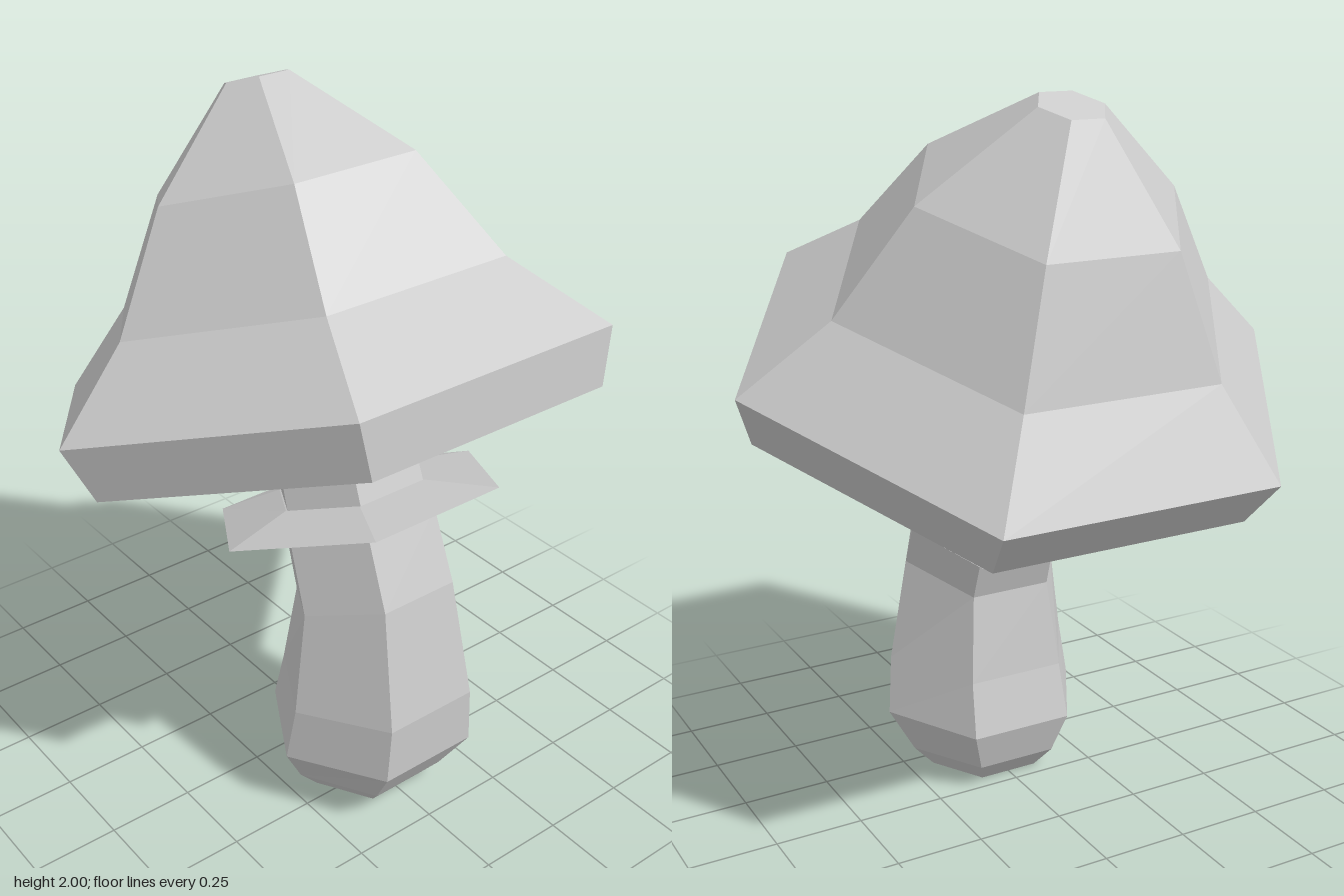
import * as THREE from 'three';

const SIDES = 6;

// Hexagonal loft through tilted rings: [centre y, centre z, radius, tilt in degrees], bottom to top
function loft(name, rings, material) {
  const positions = [];
  const index = [];
  for (const [y, z, r, tilt] of rings) {
    const t = THREE.MathUtils.degToRad(tilt);
    for (let i = 0; i < SIDES; i++) {
      const a = (i / SIDES) * Math.PI * 2;
      const s = r * Math.sin(a);
      positions.push(r * Math.cos(a), y + s * Math.sin(t), z + s * Math.cos(t));
    }
  }
  // Side walls
  for (let j = 0; j < rings.length - 1; j++) {
    for (let i = 0; i < SIDES; i++) {
      const k = (i + 1) % SIDES;
      const a = j * SIDES + i, b = j * SIDES + k;
      const c = a + SIDES, d = b + SIDES;
      index.push(a, c, b, b, c, d);
    }
  }
  // End faces
  const top = (rings.length - 1) * SIDES;
  for (let i = 1; i < SIDES - 1; i++) {
    index.push(0, i, i + 1);
    index.push(top, top + i + 1, top + i);
  }
  const indexed = new THREE.BufferGeometry();
  indexed.setAttribute('position', new THREE.Float32BufferAttribute(positions, 3));
  indexed.setIndex(index);
  const geometry = indexed.toNonIndexed();
  geometry.computeVertexNormals();
  const mesh = new THREE.Mesh(geometry, material);
  mesh.name = name;
  return mesh;
}

export function createModel() {
  const group = new THREE.Group();
  group.name = 'mushroom';
  const material = new THREE.MeshStandardMaterial({ color: 0xcccccc, flatShading: true });

  // Bulbous stem that leans backwards as it rises
  group.add(loft('stem', [
    [0, 0.2, 0.175, 0],
    [0.065, 0.2, 0.235, 0],
    [0.19, 0.225, 0.303, 2],
    [0.355, 0.245, 0.285, 4],
    [0.655, 0.228, 0.238, 19],
    [0.857, 0.155, 0.23, 19.4],
    [0.93, 0.125, 0.215, 19.4],
    [1.14, 0.052, 0.206, 19.4],
  ], material));

  // Sharp-edged skirt around the stem
  group.add(loft('collar', [
    [0.857, 0.155, 0.232, 19.4],
    [0.897, 0.145, 0.419, 20],
    [0.93, 0.12, 0.217, 19.4],
  ], material));

  // Tilted cap with flat underside, bevelled rim and bell-shaped crown
  group.add(loft('cap', [
    [1.13, 0.055, 0.742, 19.4],
    [1.27, -0.005, 0.8, 19.4],
    [1.46, -0.083, 0.568, 19.4],
    [1.74, -0.175, 0.38, 19.4],
    [1.972, -0.278, 0.095, 19.4],
  ], material));

  return group;
}
